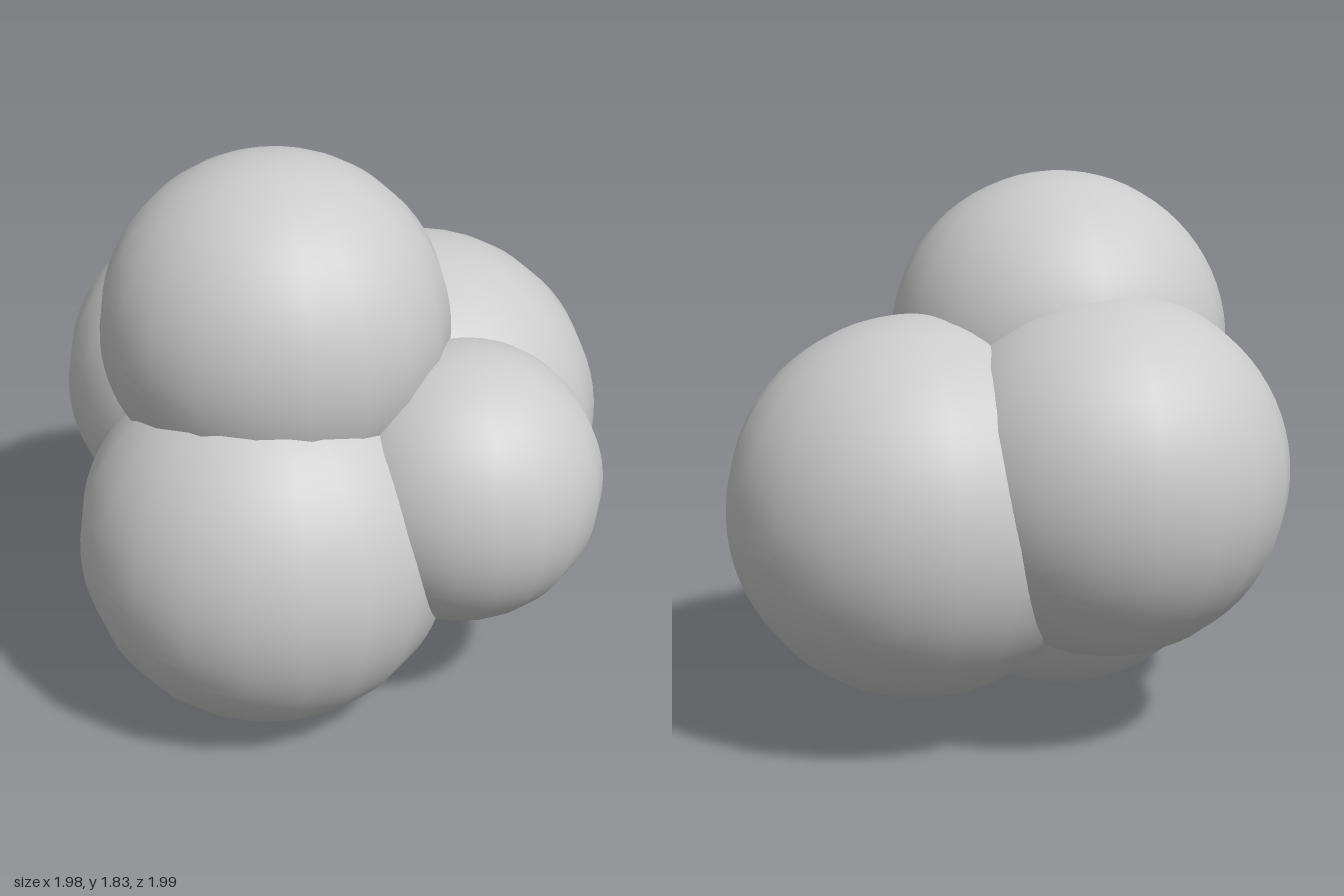
import * as THREE from 'three';

// Cluster of overlapping spheres: name, radius, centre
const LOBES = [
  ['frontLobe', 0.615, [0.09, 0.62, 0.38]],
  ['topLobe', 0.565, [-0.035, 1.27, 0.2]],
  ['rightLobe', 0.59, [-0.4, 0.9, -0.005]],
  ['backLobe', 0.623, [0.087, 0.785, -0.375]],
  ['leftLobe', 0.463, [0.525, 0.795, -0.065]],
];

export function createModel() {
  const group = new THREE.Group();
  group.name = 'sphereCluster';
  const material = new THREE.MeshStandardMaterial({ color: 0xcccccc });

  // Each lobe has 20 sides around its upright axis and a finer vertical profile
  for (const [name, radius, centre] of LOBES) {
    const lobe = new THREE.Mesh(new THREE.SphereGeometry(radius, 20, 36), material);
    lobe.name = name;
    lobe.position.set(...centre);
    group.add(lobe);
  }
  return group;
}
